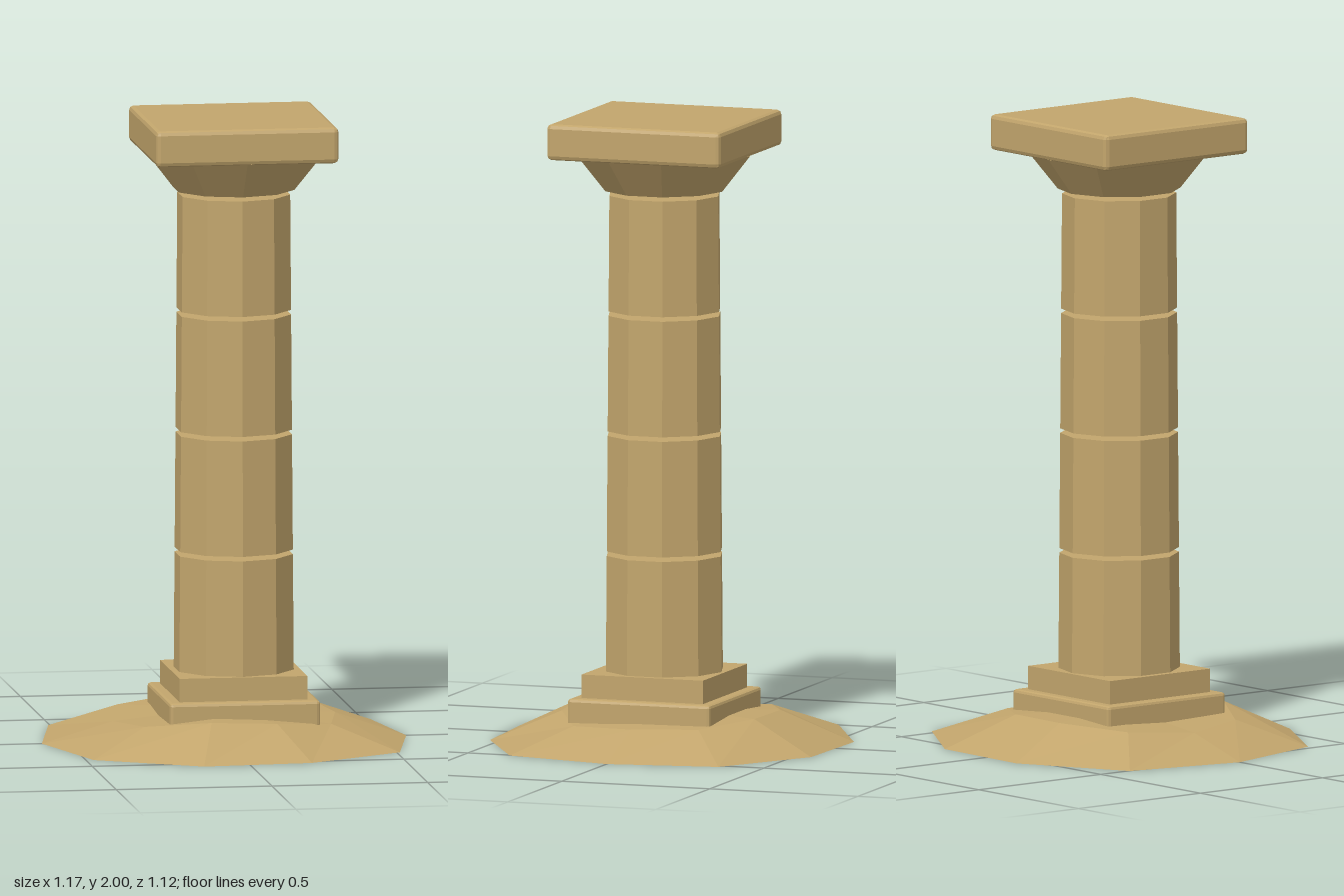
import * as THREE from 'three';
import { RoundedBoxGeometry } from 'three/addons/geometries/RoundedBoxGeometry.js';

const sandstone = new THREE.MeshStandardMaterial({ color: 0xc2a56c, flatShading: true });
sandstone.name = 'sandstone';

function addPart(parent, name, geometry, y = 0) {
  const mesh = new THREE.Mesh(geometry, sandstone);
  mesh.name = name;
  mesh.position.y = y;
  parent.add(mesh);
}

// Slab between two heights with single-step chamfered edges
function addSlab(parent, name, width, y0, y1, chamfer) {
  addPart(parent, name, new RoundedBoxGeometry(width, y1 - y0, width, 1, chamfer), (y0 + y1) / 2);
}

// Ten-sided tapered drum between two heights
function addDrum(parent, name, r0, r1, y0, y1) {
  addPart(parent, name, new THREE.CylinderGeometry(r1, r0, y1 - y0, 10), (y0 + y1) / 2);
}

// Irregular low mound: ground outline, raised shoulder ring and a peak
function moundGeometry() {
  const outline = [
    [0.585, 0], [0.51, 0.355], [0.2, 0.535], [-0.15, 0.56], [-0.475, 0.37],
    [-0.585, 0], [-0.505, -0.385], [-0.155, -0.565], [0.215, -0.555], [0.525, -0.355],
  ];
  const shoulder = [0.08, 0.075, 0.095, 0.105, 0.08, 0.067, 0.085, 0.1, 0.1, 0.085];
  const n = outline.length;
  const positions = [];
  const index = [];
  outline.forEach(([x, z]) => positions.push(x, 0, z));
  outline.forEach(([x, z], i) => positions.push(x * 0.61, shoulder[i], z * 0.6));
  positions.push(0, 0.105, 0, 0, 0, 0);
  for (let i = 0; i < n; i++) {
    const j = (i + 1) % n;
    index.push(i, n + i, j, j, n + i, n + j); // slope
    index.push(2 * n, n + j, n + i); // crown
    index.push(2 * n + 1, i, j); // underside
  }
  const geometry = new THREE.BufferGeometry();
  geometry.setAttribute('position', new THREE.Float32BufferAttribute(positions, 3));
  geometry.setIndex(index);
  const flat = geometry.toNonIndexed();
  flat.computeVertexNormals();
  return flat;
}

export function createModel() {
  const model = new THREE.Group();
  model.name = 'stoneColumn';
  addPart(model, 'mound', moundGeometry());

  const column = new THREE.Group();
  column.name = 'column';
  column.position.set(0.03, 0, 0.008);
  model.add(column);

  // Stepped base
  addSlab(column, 'lowerPlinth', 0.482, 0.068, 0.155, 0.01);
  addPart(column, 'upperPlinth', new THREE.BoxGeometry(0.41, 0.08, 0.41), 0.19);

  // Shaft of four stacked drums with open joints, narrowing upward
  const radiusAt = (y) => 0.193 - 0.0075 * (y - 0.23);
  for (let i = 0; i < 4; i++) {
    const y0 = 0.23 + i * 0.3845;
    const y1 = y0 + 0.37;
    addDrum(column, `shaftDrum${i + 1}`, radiusAt(y0), radiusAt(y1), y0, y1);
  }

  // Flared capital under a square top slab
  addDrum(column, 'capital', 0.195, 0.289, 1.769, 1.887);
  addSlab(column, 'topSlab', 0.586, 1.885, 2, 0.014);
  return model;
}
